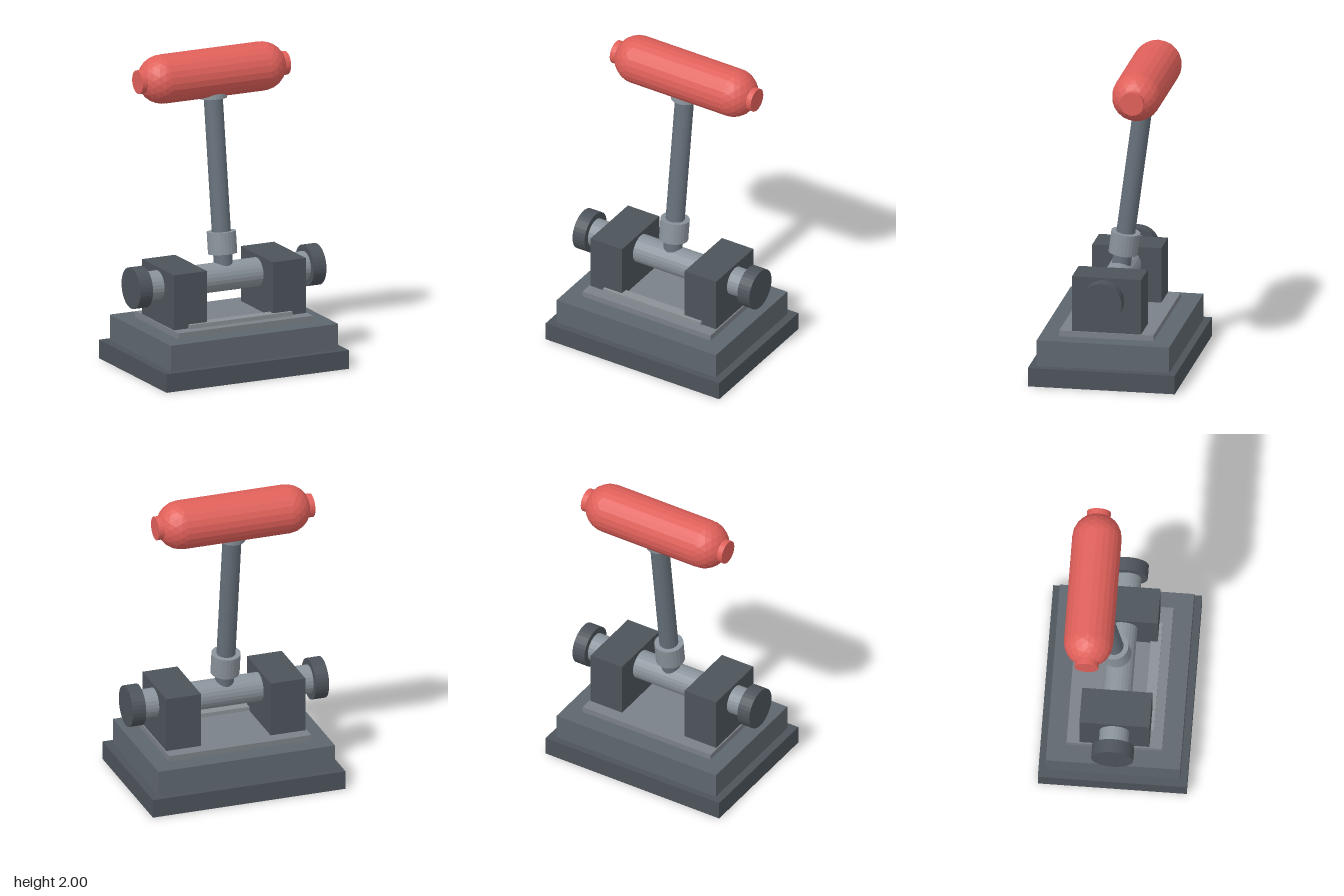
import * as THREE from 'three';

const mat = (color) => new THREE.MeshStandardMaterial({ color, flatShading: true });
const DARK = mat(0x4c535a), MID = mat(0x5e666e), PLATE = mat(0x7b8188), STRIP = mat(0x8b9197);
const STEEL = mat(0x8a939b), ROD = mat(0x66707a), RED = mat(0xe0605a);

export function createModel() {
  const model = new THREE.Group();
  model.name = 'leverSwitch';

  const add = (parent, name, geometry, material, x = 0, y = 0, z = 0) => {
    const mesh = new THREE.Mesh(geometry, material);
    mesh.name = name;
    mesh.position.set(x, y, z);
    parent.add(mesh);
    return mesh;
  };
  // Box given by its width, bottom, top and depth
  const slab = (name, w, y0, y1, d, material, x = 0, z = 0) =>
    add(model, name, new THREE.BoxGeometry(w, y1 - y0, d), material, x, (y0 + y1) / 2, z);
  const upright = (r, length, sides = 24) => new THREE.CylinderGeometry(r, r, length, sides);
  const sideways = (r, length, sides = 24, open = false) =>
    new THREE.CylinderGeometry(r, r, length, sides, 1, open).rotateZ(Math.PI / 2);

  // Stepped base
  slab('baseFoot', 1.28, 0, 0.12, 0.935, DARK);
  slab('baseStep', 1.174, 0.12, 0.287, 0.844, MID);
  slab('topPlate', 0.944, 0.287, 0.324, 0.6, PLATE);
  slab('frontStrip', 0.72, 0.324, 0.35, 0.065, STRIP, 0, 0.208);

  // Pivot shaft in two bearing blocks, with end knobs
  const pivotY = 0.567;
  add(model, 'pivotShaft', sideways(0.092, 1.16), STEEL, 0, pivotY, 0);
  for (const s of [1, -1]) {
    const side = s > 0 ? 'left' : 'right';
    slab(side + 'BearingBlock', 0.232, 0.32, 0.68, 0.44, DARK, s * 0.347);
    add(model, side + 'ShaftKnob', sideways(0.132, 0.088, 32), DARK, s * 0.608, pivotY, 0);
  }

  // Lever, leaning backwards about the pivot
  const lever = new THREE.Group();
  lever.name = 'lever';
  lever.position.y = pivotY;
  lever.rotation.x = -0.132;
  model.add(lever);
  add(lever, 'leverRod', upright(0.06, 1.2), ROD, 0, 0.6, 0);
  add(lever, 'leverCollar', upright(0.092, 0.14), STEEL, 0, 0.215, 0);
  add(lever, 'gripFlange', upright(0.085, 0.035), STEEL, 0, 1.145, 0);

  // Rounded grip with end caps
  const grip = new THREE.Group();
  grip.name = 'grip';
  grip.position.set(0, 1.845, -0.171);
  model.add(grip);
  const r = 0.155, half = 0.35;
  add(grip, 'gripBar', sideways(r, 2 * half, 24, true), RED);
  for (const s of [1, -1]) {
    const side = s > 0 ? 'left' : 'right';
    add(grip, side + 'GripEnd', new THREE.IcosahedronGeometry(r, 3), RED, s * half);
    add(grip, side + 'GripCap', sideways(0.075, 0.04), RED, s * 0.5);
  }
  return model;
}
